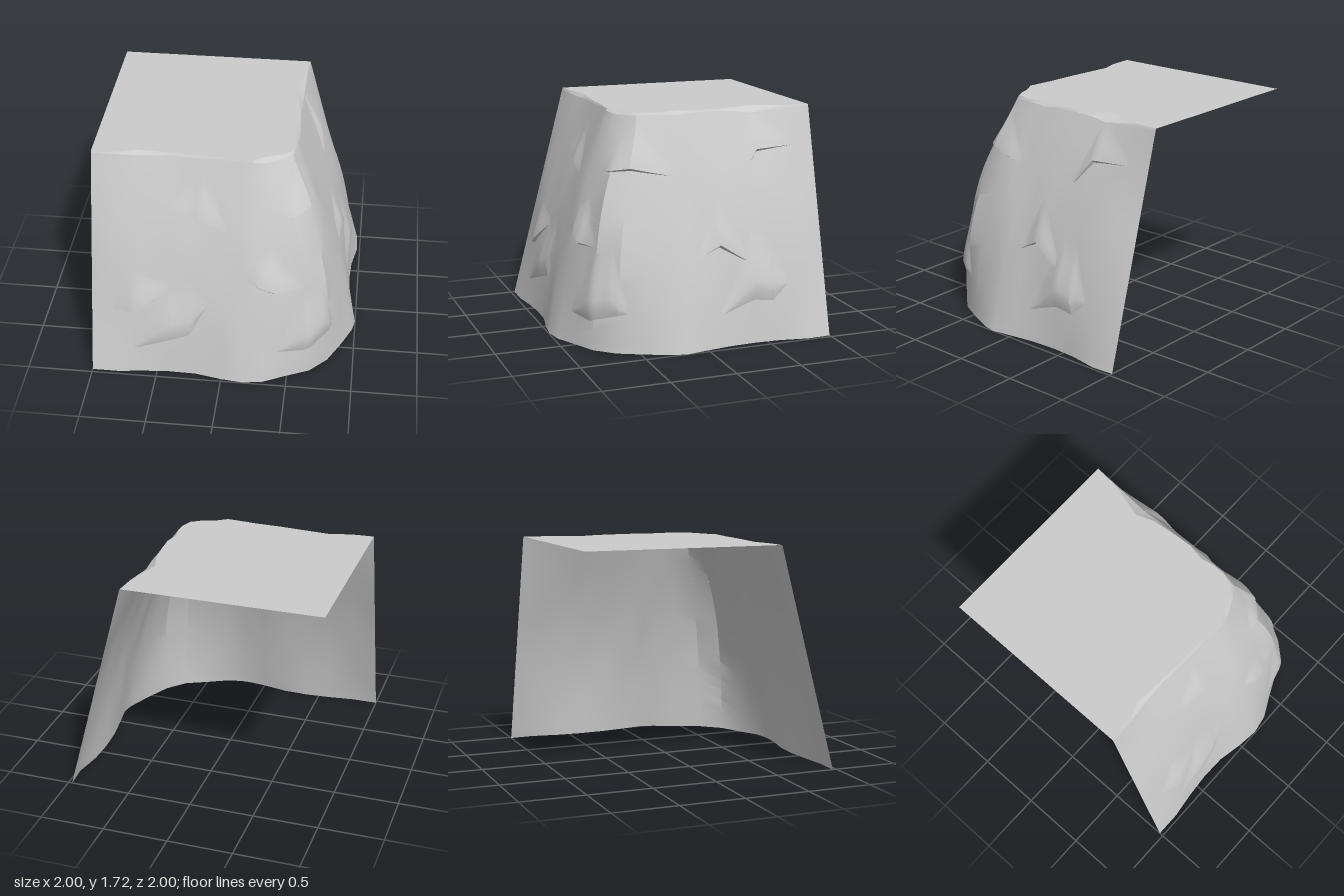
import * as THREE from 'three';
import { toCreasedNormals } from 'three/addons/utils/BufferGeometryUtils.js';

const TOP = 1.72;
// Plan columns along the cliff: foot x, foot z, top x, top z, bulge, rim inset
const COLS = [
  [-1, .97, -1, .52, 0, .005], [-.8, .97, -.82, .515, .035, .01], [-.6, .945, -.66, .495, .065, .035],
  [-.4, .93, -.45, .49, .075, .015], [-.2, .935, -.25, .5, .055, .01], [0, .975, -.05, .505, .05, .01],
  [.17, .995, .1, .515, .05, .005], [.32, .97, .19, .525, .055, .01], [.5, .88, .29, .49, .09, .04],
  [.67, .8, .39, .44, .14, .025], [.8, .66, .47, .38, .12, .02], [.9, .46, .495, .27, .09, .01],
  [.98, .27, .5, .17, .055, .015], [1, .17, .5, .07, .045, .035], [.97, 0, .5, -.06, .055, .01],
  [.94, -.2, .49, -.22, .08, .01], [.93, -.4, .49, -.4, .09, .03], [.94, -.6, .49, -.52, .09, .08],
  [.98, -.82, .5, -.82, .045, .01], [.97, -1, .51, -1, 0, .005],
];
const LAST = COLS.length - 1;
const ROWS = 20;
const material = new THREE.MeshStandardMaterial({ color: 0xcccccc, side: THREE.DoubleSide });

// Horizontal outward direction at a column
function outward(i) {
  const a = COLS[Math.max(0, i - 1)], b = COLS[Math.min(LAST, i + 1)];
  return new THREE.Vector3(a[1] - b[1], 0, b[0] - a[0]).normalize();
}

// Height of the wall's upper edge, lower where the rim is chipped
const edgeHeight = (i) => TOP - .012 - COLS[i][5] * .4;

function columnPoint(i, t) {
  const [bx, bz, tx, tz, bulge] = COLS[i];
  const ripple = i > 0 && i < LAST ? .01 * Math.sin(i * 2.3 + t * 9) : 0;
  const p = new THREE.Vector3(bx + (tx - bx) * t, edgeHeight(i) * t, bz + (tz - bz) * t);
  return p.addScaledVector(outward(i), (bulge + ripple) * Math.sin(Math.PI * t));
}

// Point at column position u and height y, pushed out by d
function wallPoint(u, y, d = 0) {
  const i = Math.min(LAST - 1, Math.floor(u)), f = u - i;
  const p = columnPoint(i, y / edgeHeight(i)).lerp(columnPoint(i + 1, y / edgeHeight(i + 1)), f);
  return p.addScaledVector(outward(i).lerp(outward(i + 1), f), d);
}

// Finds the column position with a given x (front face) or z (side face) at height y
function locate(axis, value, y) {
  let lo = axis === 'x' ? 0 : 7, hi = axis === 'x' ? 12 : LAST;
  for (let k = 0; k < 30; k++) {
    const mid = (lo + hi) / 2;
    const v = wallPoint(mid, y)[axis];
    if (axis === 'x' ? v < value : v > value) lo = mid; else hi = mid;
  }
  return lo;
}

// Surface through rows of points, smooth except at sharp folds
function sheet(rows) {
  const pts = [];
  for (let r = 0; r < rows.length - 1; r++) {
    for (let i = 0; i < rows[r].length - 1; i++) {
      const a = rows[r][i], b = rows[r][i + 1], c = rows[r + 1][i], d = rows[r + 1][i + 1];
      pts.push(a, b, d, a, d, c);
    }
  }
  return toCreasedNormals(new THREE.BufferGeometry().setFromPoints(pts), .5);
}

// Overhang along a bent line: undercut below, swelling that melts into the wall above
function overhang(axis, line, depth, drop, rise) {
  const n = line.length - 1, STEPS = 6, FADE = 7;
  const us = line.map(([v, y]) => locate(axis, v, y));
  const samples = [];
  for (let j = 0; j <= n * STEPS; j++) {
    const k = Math.min(n - 1, Math.floor(j / STEPS)), f = j / STEPS - k;
    samples.push({
      u: us[k] + (us[k + 1] - us[k]) * f,
      y: line[k][1] + (line[k + 1][1] - line[k][1]) * f,
      w: Math.min(1, j / STEPS, n - j / STEPS), // tapers to nothing at both ends
    });
  }
  const rows = [samples.map(({ u, y, w }) => wallPoint(u, y - drop * w, .002))];
  for (let r = 0; r <= FADE; r++) {
    const s = r / FADE, fade = (1 - s) ** 2 * (1 + 2 * s);
    rows.push(samples.map(({ u, y, w }) =>
      wallPoint(u, Math.min(1.67, y + rise * s * (.15 + .85 * w)), .003 + depth * w * fade)));
  }
  return sheet(rows);
}

export function createModel() {
  const group = new THREE.Group();
  const add = (name, geometry) => {
    const mesh = new THREE.Mesh(geometry, material);
    mesh.name = name;
    group.add(mesh);
  };

  // Sloping cliff wall, open at the back and below
  const rows = [];
  for (let r = 0; r <= ROWS; r++) rows.push(COLS.map((_, i) => columnPoint(i, r / ROWS)));
  add('cliffWall', sheet(rows));

  // Worn rim between wall and plateau
  const rim = COLS.map((c, i) => {
    const p = new THREE.Vector3(c[2], TOP, c[3]).addScaledVector(outward(i), -c[5]);
    if (i === 0) p.x = -1;
    if (i === LAST) p.z = -1;
    return p;
  });
  add('wornRim', sheet([rows[ROWS], rim]));

  // Flat plateau
  const outline = rim.map((p) => new THREE.Vector2(p.x, -p.z));
  outline.push(new THREE.Vector2(-1, 1));
  const plateau = new THREE.ShapeGeometry(new THREE.Shape(outline));
  plateau.rotateX(-Math.PI / 2).translate(0, TOP, 0);
  add('plateau', plateau);

  // Sharp cracks: axis, bent line as (position, height)
  const cracks = [
    ['x', [[-.4, 1.31], [-.17, 1.27], [.02, 1.18]]],
    ['x', [[.18, .84], [.38, .76], [.6, .76]]],
    ['x', [[-.83, .53], [-.68, .52], [-.41, .72]]],
    ['z', [[.63, 1.29], [.47, 1.34], [.18, 1.27]]],
    ['z', [[.03, .66], [-.14, .76], [-.39, .6]]],
    ['z', [[-.37, 1.23], [-.52, 1.42], [-.82, 1.43]]],
  ];
  cracks.forEach(([axis, line], k) => add('crack' + (k + 1), overhang(axis, line, .03, .02, .32)));

  // Broad, softer ledges near the foot
  const ledges = [
    ['x', [[-.68, .2], [-.4, .38], [-.25, .43], [-.12, .6]]],
    ['x', [[.42, .24], [.62, .31], [.75, .36], [.82, .3]]],
    ['z', [[-.14, .24], [-.4, .42], [-.55, .4], [-.67, .42]]],
  ];
  ledges.forEach(([axis, line], k) => add('ledge' + (k + 1), overhang(axis, line, .03, .09, .4)));

  return group;
}
